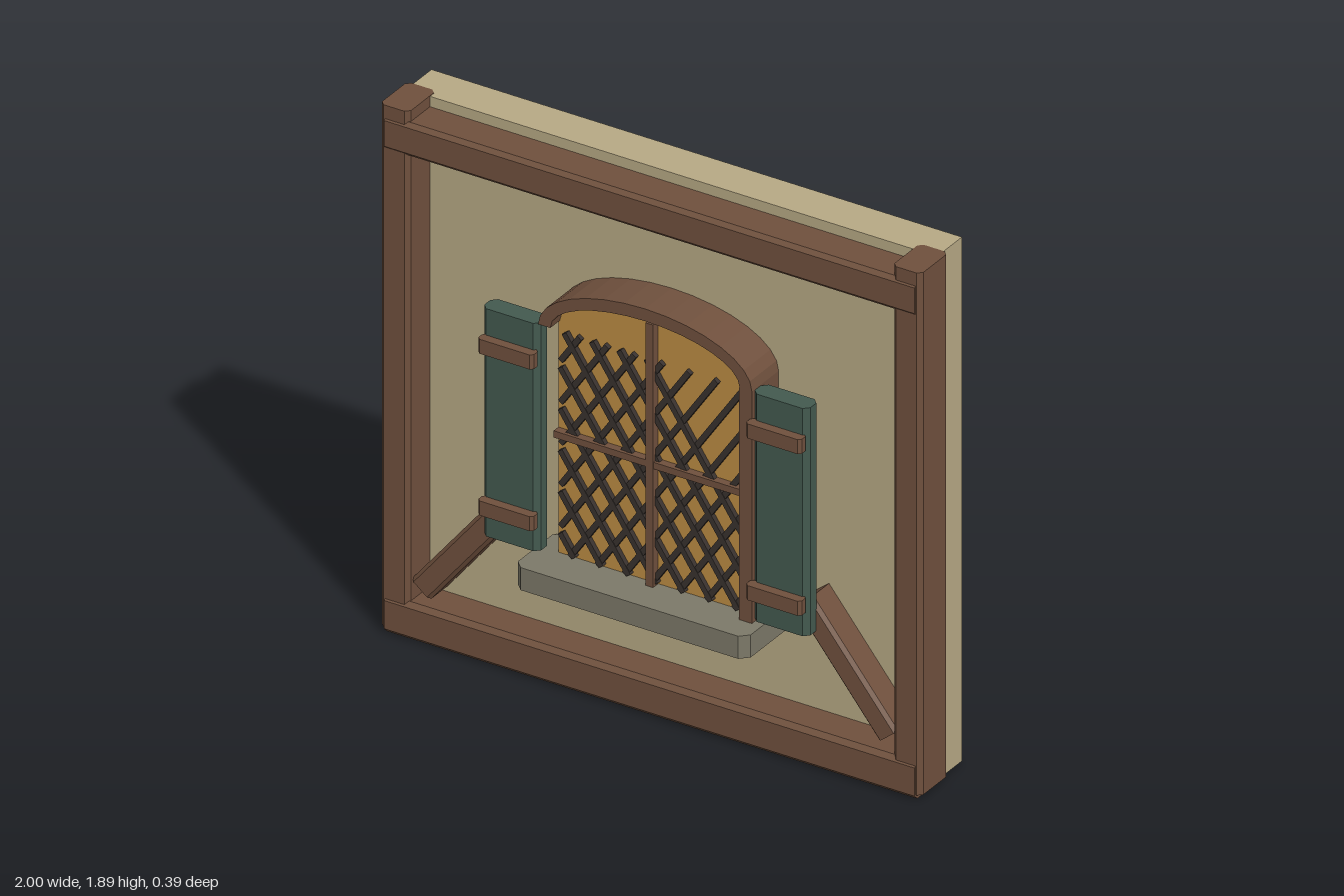
import * as THREE from 'three';

const mat = (name, color) => {
  const m = new THREE.MeshStandardMaterial({ color });
  m.name = name;
  return m;
};

export function createModel() {
  const plaster = mat('plaster', 0xb6a884);
  const timber = mat('timber', 0x6f503d);
  const paint = mat('shutterPaint', 0x43594f);
  const glow = mat('amberGlass', 0xbb8b43);
  const stone = mat('sillStone', 0x7c7868);
  const lead = mat('leadBars', 0x38312e);

  const model = new THREE.Group();
  model.name = 'windowWall';
  const add = (name, geometry, material, parent = model) => {
    const mesh = new THREE.Mesh(geometry, material);
    mesh.name = name;
    parent.add(mesh);
    return mesh;
  };
  const box = (name, material, [x0, x1], [y0, y1], [z0, z1]) => {
    const m = add(name, new THREE.BoxGeometry(x1 - x0, y1 - y0, z1 - z0), material);
    m.position.set((x0 + x1) / 2, (y0 + y1) / 2, (z0 + z1) / 2);
    return m;
  };

  // Beam with its long edges chamfered, running along x or y
  const beam = (name, material, axis, [x0, x1], [y0, y1], [z0, z1], c) => {
    const alongY = axis === 'y';
    const w = (alongY ? x1 - x0 : z1 - z0) / 2;
    const h = (alongY ? z1 - z0 : y1 - y0) / 2;
    const len = alongY ? y1 - y0 : x1 - x0;
    const section = new THREE.Shape([
      [-w + c, -h], [w - c, -h], [w, -h + c], [w, h - c],
      [w - c, h], [-w + c, h], [-w, h - c], [-w, -h + c],
    ].map(([a, b]) => new THREE.Vector2(a, b)));
    const g = new THREE.ExtrudeGeometry(section, { depth: len, bevelEnabled: false });
    g.translate(0, 0, -len / 2);
    if (alongY) g.rotateX(-Math.PI / 2); else g.rotateY(Math.PI / 2);
    const m = add(name, g, material);
    m.position.set((x0 + x1) / 2, (y0 + y1) / 2, (z0 + z1) / 2);
    return m;
  };

  // Wall and timber framing
  box('wall', plaster, [-0.98, 0.98], [0.01, 1.89], [-0.195, -0.05]);
  beam('bottomBeam', timber, 'x', [-0.98, 0.98], [0, 0.133], [-0.078, 0.08], 0.016);
  beam('topBeam', timber, 'x', [-0.98, 0.98], [1.733, 1.853], [-0.078, 0.08], 0.014);
  for (const s of [-1, 1]) {
    const side = s > 0 ? 'left' : 'right';
    beam(side + 'Post', timber, 'y', s > 0 ? [0.893, 1] : [-1, -0.893], [0.018, 1.892], [-0.087, 0.075], 0.015);

    // Diagonal brace, its upper end tucked behind the shutter
    const a = Math.atan2(0.295, 0.365), len = 0.5;
    const brace = beam(side + 'Brace', timber, 'y', [-0.044, 0.044], [-len / 2, len / 2], [-0.06, 0.055], 0.012);
    brace.position.x = s * (0.8625 - Math.sin(a) * len / 2);
    brace.position.y = 0.18 + Math.cos(a) * len / 2;
    brace.rotation.z = s * a;

    // Shutter with two straps
    beam(side + 'Shutter', paint, 'y', s > 0 ? [0.395, 0.6] : [-0.605, -0.395], [0.48, 1.297], [0.035, 0.105], 0.018);
    for (const y of [0.57, 1.15]) {
      beam(side + 'ShutterStrap', timber, 'y', s > 0 ? [0.39, 0.595] : [-0.6, -0.395], [y, y + 0.052], [0.098, 0.138], 0.01);
    }
  }

  // Stone sill
  beam('sill', stone, 'y', [-0.43, 0.43], [0.387, 0.468], [-0.06, 0.195], 0.028);

  // Arched amber pane
  const spring = 1.3;
  const arc = (rx, ry, n = 16) => Array.from({ length: n + 1 }, (_, i) => {
    const t = Math.PI * i / n;
    return new THREE.Vector2(rx * Math.cos(t), spring + ry * Math.sin(t));
  });
  const extrude = (pts, z0, z1) => new THREE.ExtrudeGeometry(new THREE.Shape(pts),
    { depth: z1 - z0, bevelEnabled: false }).translate(0, 0, z0);
  add('pane', extrude([new THREE.Vector2(-0.355, 0.46), new THREE.Vector2(0.355, 0.46), ...arc(0.355, 0.135)], -0.05, 0.05), glow);

  // Arch and single jamb of the window frame
  add('frameArch', extrude([...arc(0.395, 0.176), ...arc(0.35, 0.132).reverse()], -0.05, 0.105), timber);
  box('frameJamb', timber, [0.348, 0.395], [0.465, spring], [-0.05, 0.105]);

  // Mullion and transom
  box('mullion', timber, [-0.014, 0.014], [0.465, 1.41], [0.045, 0.08]);
  box('transom', timber, [-0.355, 0.35], [0.893, 0.917], [0.045, 0.078]);

  // Diagonal lead lattice, clipped to the pane
  const lattice = new THREE.Group();
  lattice.name = 'lattice';
  model.add(lattice);
  const X = 0.338, top = 1.27, bottom = 0.475, slope = 1.47;
  for (const s of [-1, 1]) {
    for (let i = -6; i <= 12; i++) {
      // s = 1 rises to the right, s = -1 falls to the right; c is x at the top edge
      const c = (s > 0 ? 0.035 : -0.02) + (s > 0 ? i : -i) * 0.101;
      if (s < 0 && c > 0.03) continue;
      const xAt = y => c + s * (y - top) / slope;
      const yAt = x => top + s * (x - c) * slope;
      const yEdges = [yAt(-X), yAt(X)].sort((p, q) => p - q);
      const y0 = Math.max(bottom, yEdges[0]), y1 = Math.min(top, yEdges[1]);
      if (y1 - y0 < 0.03) continue;
      const len = Math.hypot(xAt(y1) - xAt(y0), y1 - y0);
      const bar = add('latticeBar', new THREE.BoxGeometry(0.02, len, 0.02), lead, lattice);
      bar.position.set((xAt(y0) + xAt(y1)) / 2, (y0 + y1) / 2, s > 0 ? 0.056 : 0.058);
      bar.rotation.z = -s * Math.atan(1 / slope);
    }
  }
  return model;
}
